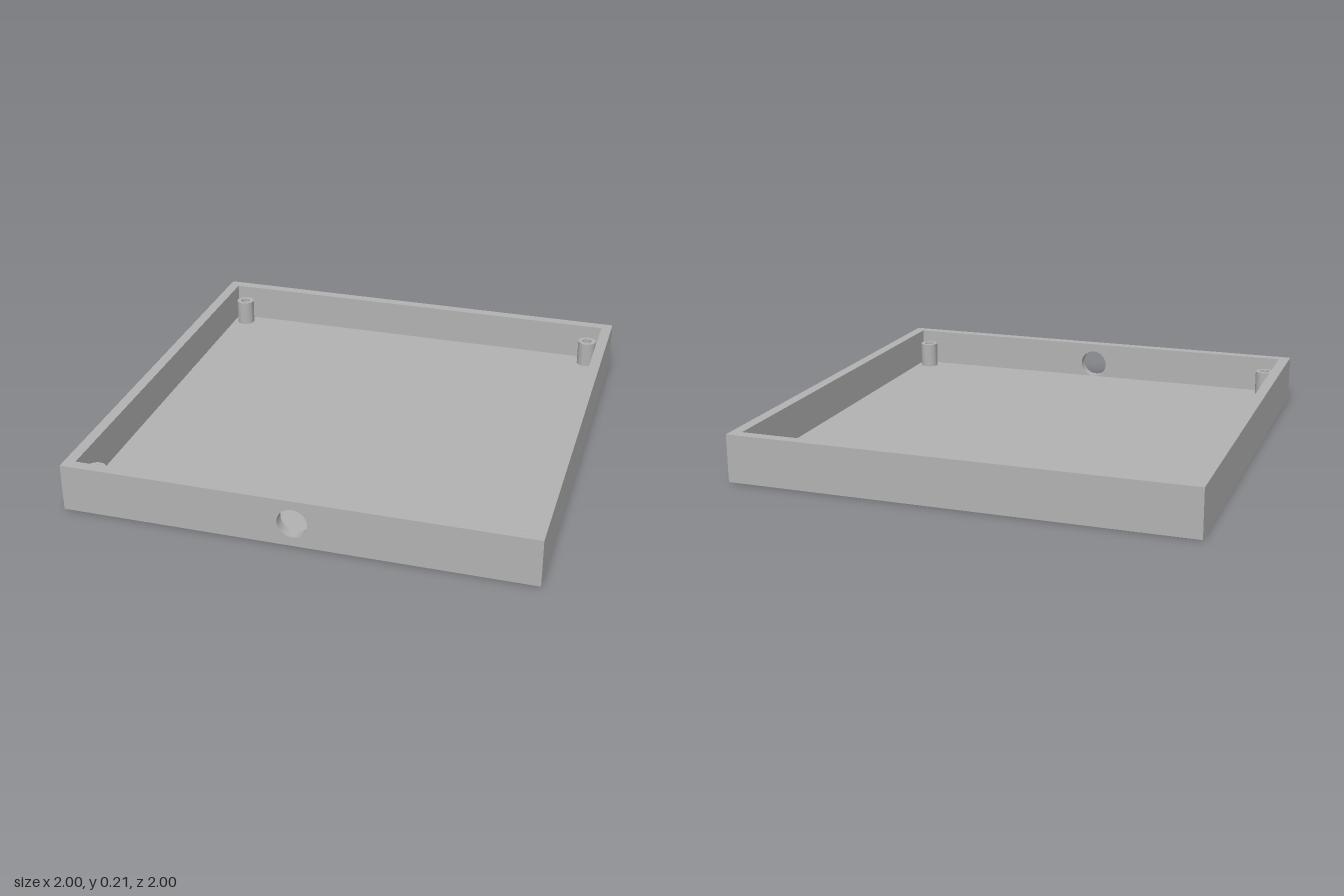
import * as THREE from 'three';
import { toCreasedNormals } from 'three/addons/utils/BufferGeometryUtils.js';

const HEIGHT = 0.208, FLOOR = 0.04, INNER = 0.952, WALL = 1 - INNER;

function polygon(points) {
  return new THREE.Shape(points.map(([x, y]) => new THREE.Vector2(x, y)));
}

export function createModel() {
  const model = new THREE.Group();
  model.name = 'enclosureTray';
  const grey = new THREE.MeshStandardMaterial({ color: 0xb2b2b2 });
  grey.name = 'plain grey';

  function add(name, geometry, x = 0, y = 0, z = 0) {
    const mesh = new THREE.Mesh(toCreasedNormals(geometry, 0.6), grey);
    mesh.name = name;
    mesh.position.set(x, y, z);
    model.add(mesh);
  }

  // Floor plate, ending behind the front wall
  add('floor', new THREE.BoxGeometry(2, FLOOR, 2 - WALL), 0, FLOOR / 2, -WALL / 2);

  // Left, back and right walls as one U, extruded upwards
  const walls = polygon([
    [-1, -INNER], [-INNER, -INNER], [-INNER, INNER], [INNER, INNER],
    [INNER, -INNER], [1, -INNER], [1, 1], [-1, 1],
  ]);
  const wallsGeometry = new THREE.ExtrudeGeometry(walls, { depth: HEIGHT - FLOOR, bevelEnabled: false });
  wallsGeometry.rotateX(-Math.PI / 2);
  add('sideAndBackWalls', wallsGeometry, 0, FLOOR, 0);

  // Front wall with a round cable hole
  const front = polygon([[-1, 0], [1, 0], [1, HEIGHT], [-1, HEIGHT]]);
  const hole = new THREE.Path();
  hole.absarc(0, 0.105, 0.064, 0, Math.PI * 2, true);
  front.holes.push(hole);
  add('frontWall', new THREE.ExtrudeGeometry(front, { depth: WALL, bevelEnabled: false, curveSegments: 48 }), 0, 0, INNER);

  // Hollow screw posts in the four corners
  const profile = [[0.042, FLOOR], [0.042, 0.157], [0.022, 0.157], [0.022, FLOOR]]
    .map(([r, y]) => new THREE.Vector2(r, y));
  for (const x of [-1, 1]) {
    for (const z of [-1, 1]) {
      const name = (z > 0 ? 'front' : 'back') + (x > 0 ? 'Left' : 'Right') + 'ScrewPost';
      add(name, new THREE.LatheGeometry(profile, 32), x * 0.893, 0, z * 0.893);
    }
  }
  return model;
}
